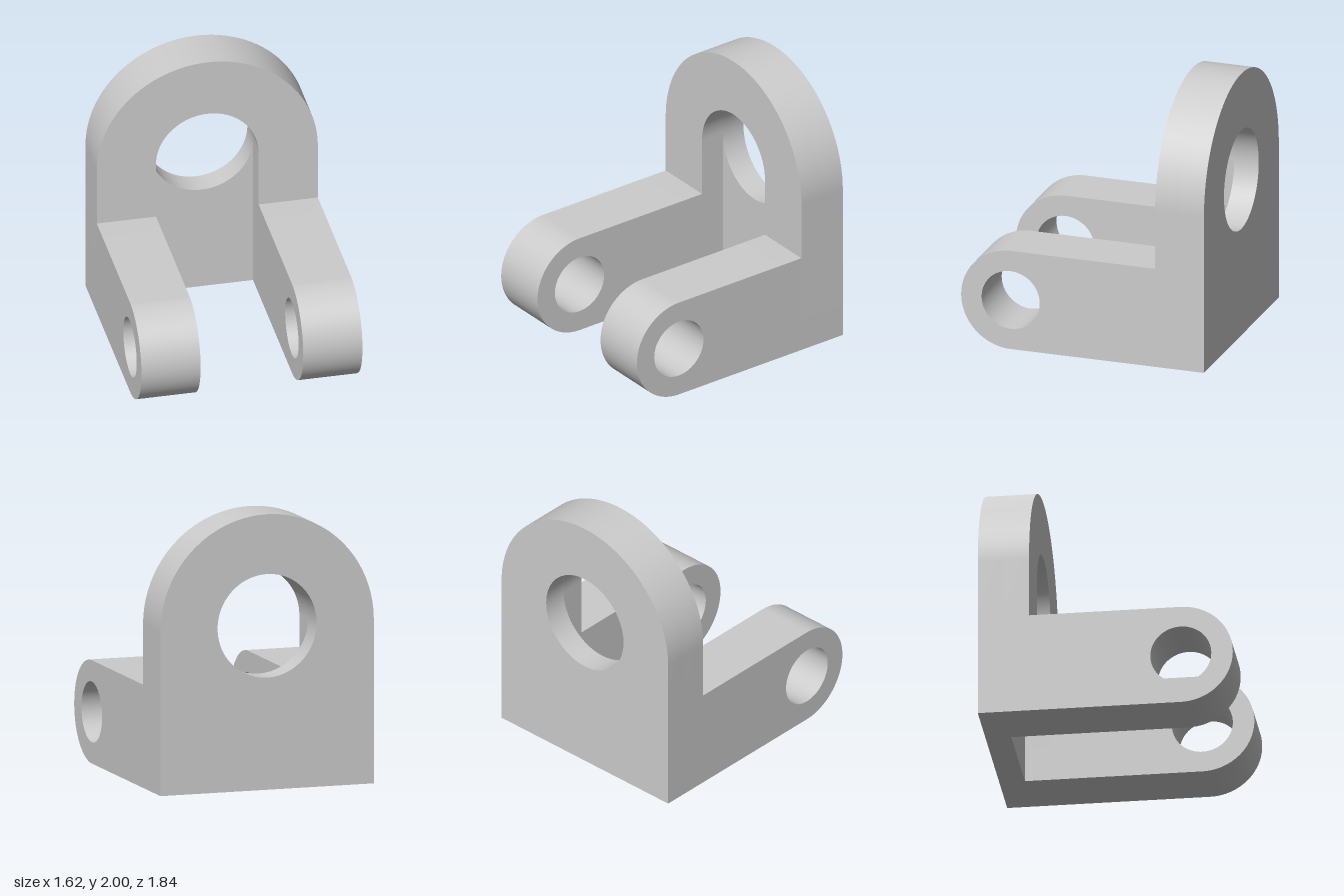
import * as THREE from 'three';
import { toCreasedNormals } from 'three/addons/utils/BufferGeometryUtils.js';

const HALF_W = 0.81;      // half width of the bracket
const EYE_Y = 1.19;       // height of the large hole
const EYE_R = 0.376;      // large hole radius and half the gap between the arms
const BACK = -0.92, STEP = -0.735, FACE = -0.55; // plate depth levels
const ARM_R = 0.375, PIN_Z = 0.545, PIN_R = 0.22;

const material = new THREE.MeshStandardMaterial({ color: 0xcccccc });

function extrude(shape, depth) {
  const geometry = new THREE.ExtrudeGeometry(shape, { depth, bevelEnabled: false, curveSegments: 48 });
  return toCreasedNormals(geometry, 0.5);
}

function addPart(group, name, geometry) {
  const mesh = new THREE.Mesh(geometry, material);
  mesh.name = name;
  group.add(mesh);
}

function circleHole(x, y, r) {
  return new THREE.Path().absarc(x, y, r, 0, Math.PI * 2, true);
}

// Closes an outline up the right side, over the arch and down the left
function archOver(shape) {
  shape.lineTo(HALF_W, 0);
  shape.lineTo(HALF_W, EYE_Y);
  shape.absarc(0, EYE_Y, HALF_W, 0, Math.PI, false);
  shape.lineTo(-HALF_W, 0);
  return shape;
}

export function createModel() {
  const group = new THREE.Group();
  group.name = 'clevisBracket';

  // Rear half of the upright plate, with a round hole
  const rear = archOver(new THREE.Shape().moveTo(-HALF_W, 0));
  rear.holes.push(circleHole(0, EYE_Y, EYE_R));
  addPart(group, 'plateRear', extrude(rear, STEP - BACK).translate(0, 0, BACK));

  // Front half, where the hole runs down into an open slot
  const front = new THREE.Shape().moveTo(-HALF_W, 0);
  front.lineTo(-EYE_R, 0);
  front.lineTo(-EYE_R, EYE_Y);
  front.absarc(0, EYE_Y, EYE_R, Math.PI, 0, true);
  front.lineTo(EYE_R, 0);
  archOver(front);
  addPart(group, 'plateFront', extrude(front, FACE - STEP).translate(0, 0, STEP));

  // Two round-ended arms with pin holes, drawn in the z-y plane
  const arm = new THREE.Shape().moveTo(FACE, 0);
  arm.lineTo(PIN_Z, 0);
  arm.absarc(PIN_Z, ARM_R, ARM_R, -Math.PI / 2, Math.PI / 2, false);
  arm.lineTo(FACE, ARM_R * 2);
  arm.closePath();
  arm.holes.push(circleHole(PIN_Z, ARM_R, PIN_R));
  for (const [name, outerX] of [['leftArm', HALF_W], ['rightArm', -EYE_R]]) {
    const geometry = extrude(arm, HALF_W - EYE_R).rotateY(-Math.PI / 2).translate(outerX, 0, 0);
    addPart(group, name, geometry);
  }
  return group;
}
